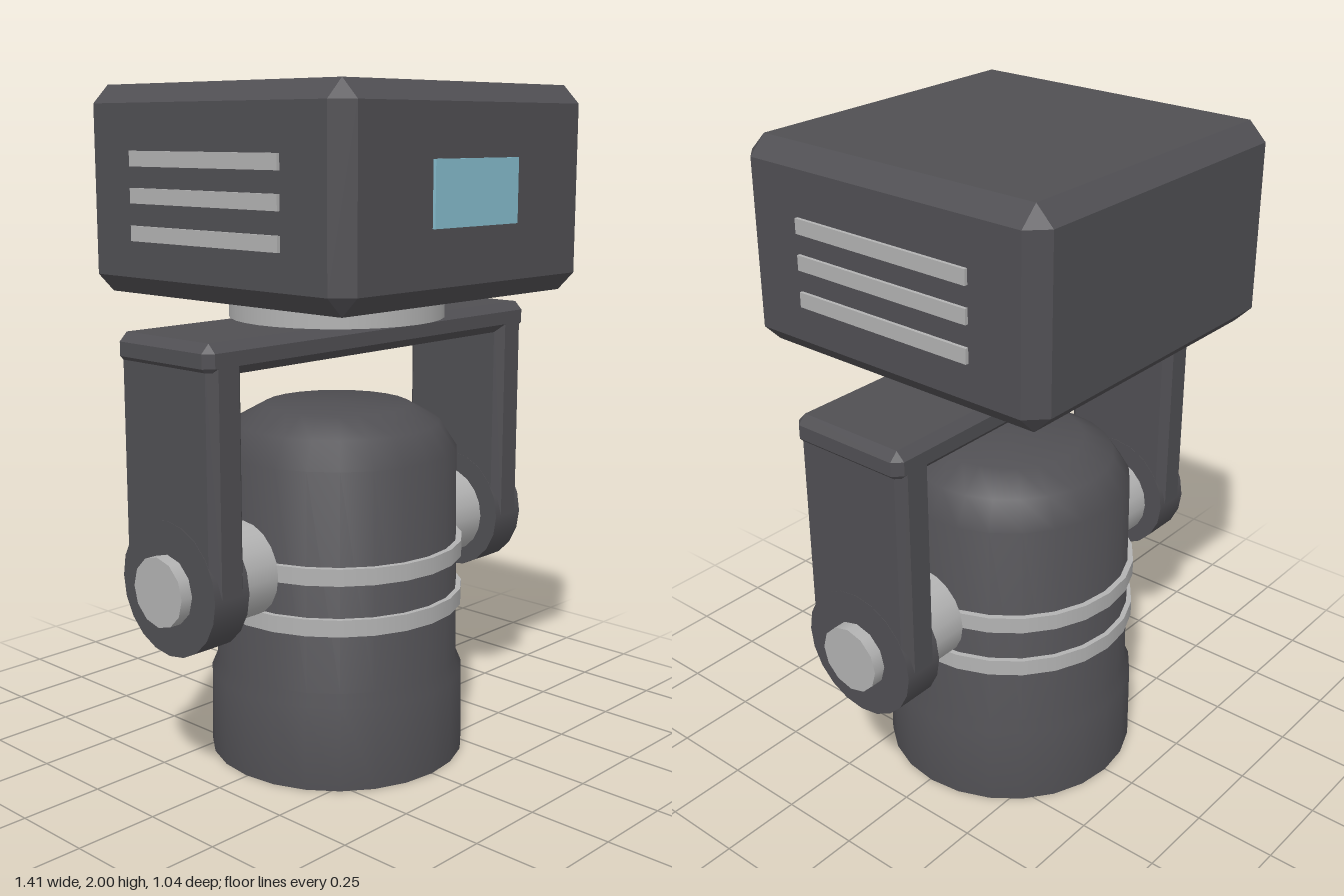
import * as THREE from 'three';
import { toCreasedNormals } from 'three/addons/utils/BufferGeometryUtils.js';
import { ConvexGeometry } from 'three/addons/geometries/ConvexGeometry.js';

const material = (name, color) => {
  const m = new THREE.MeshStandardMaterial({ color });
  m.name = name;
  return m;
};

// Box with one flat chamfer of width c along every edge
function chamferBox(w, h, d, c) {
  const points = [];
  for (const x of [-1, 1]) for (const y of [-1, 1]) for (const z of [-1, 1]) {
    for (let axis = 0; axis < 3; axis++) {
      const inset = [0, 1, 2].map((i) => (i === axis ? 0 : c));
      points.push(new THREE.Vector3(
        x * (w / 2 - inset[0]), y * (h / 2 - inset[1]), z * (d / 2 - inset[2])));
    }
  }
  return new ConvexGeometry(points);
}

export function createModel() {
  const dark = material('darkHousing', 0x504f53);
  const grey = material('lightMetal', 0xb2b2b2);
  const blue = material('displayBlue', 0x86bccd);
  const root = new THREE.Group();
  root.name = 'movingHeadLamp';

  function add(name, geometry, mat, x, y, z = -0.005) {
    const mesh = new THREE.Mesh(geometry, mat);
    mesh.name = name;
    mesh.position.set(x, y, z);
    root.add(mesh);
    return mesh;
  }
  // Cylinder lying along x
  const lying = (r, length, sides) =>
    new THREE.CylinderGeometry(r, r, length, sides).rotateZ(Math.PI / 2);

  // Base box with its display and neck
  add('baseBox', chamferBox(1.04, 0.59, 1.03, 0.053), dark, 0, 1.705);
  add('display', new THREE.BoxGeometry(0.355, 0.18, 0.009), blue, -0.002, 1.71, 0.5145);
  add('neck', new THREE.CylinderGeometry(0.32, 0.32, 0.09, 32), grey, 0, 1.38);

  // Yoke bridge
  add('yokeBridge', chamferBox(1.36, 0.09, 0.385, 0.025), dark, 0, 1.29);

  for (const side of [-1, 1]) {
    const label = side > 0 ? 'left' : 'right';
    // Vent bars on the sides of the box
    for (const y of [1.795, 1.693, 1.588]) {
      add(label + 'Vent', new THREE.BoxGeometry(0.02, 0.043, 0.59), grey, side * 0.52, y);
    }
    // Yoke arm with round end
    add(label + 'YokeArm', chamferBox(0.122, 0.69, 0.385, 0.025), dark, side * 0.608, 0.965);
    add(label + 'YokeEnd', lying(0.193, 0.124, 20), dark, side * 0.608, 0.642);
    // Pivot knob outside, pivot hub inside
    add(label + 'PivotKnob', lying(0.1, 0.05, 12), grey, side * 0.682, 0.64);
    add(label + 'PivotHub', lying(0.14, 0.145, 20), grey, side * 0.459, 0.64);
  }

  // Lamp head with recessed opening underneath
  const profile = [
    [0, 0.06], [0.33, 0.06], [0.33, 0], [0.39, 0], [0.387, 0.25], [0.37, 0.29],
    [0.362, 0.94], [0.31, 1.02], [0.22, 1.07], [0, 1.07],
  ].map(([r, y]) => new THREE.Vector2(r, y));
  add('lampHead', toCreasedNormals(new THREE.LatheGeometry(profile, 24), 0.7), dark, 0, 0);
  add('lens', new THREE.CylinderGeometry(0.26, 0.26, 0.03, 24), grey, 0, 0.05);

  // Trim rings around the head
  for (const y of [0.64, 0.49]) {
    add('trimRing', new THREE.CylinderGeometry(0.383, 0.383, 0.05, 24), grey, 0, y);
  }
  return root;
}
